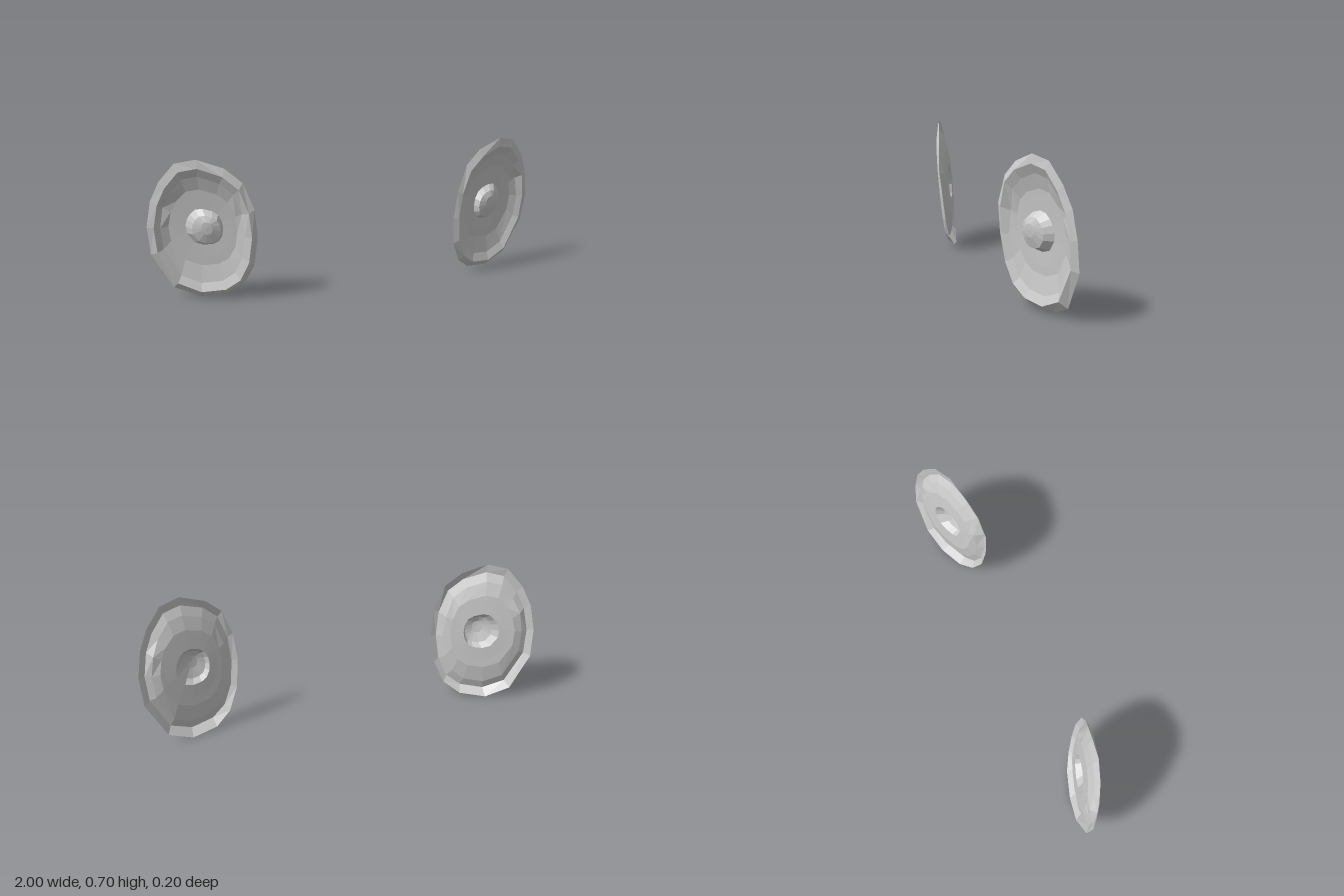
import * as THREE from 'three';

// Rim outline of the left ear, clockwise from the top: x, y, z
const rim = [
  [0.775, 0.705, 0.035], [0.87, 0.685, -0.005], [0.94, 0.595, -0.04], [0.98, 0.5, -0.067],
  [1.0, 0.37, -0.083], [0.985, 0.23, -0.1], [0.885, 0.055, -0.092], [0.765, 0.004, -0.062],
  [0.64, 0.02, -0.015], [0.565, 0.075, 0.03], [0.52, 0.18, 0.065], [0.505, 0.32, 0.086],
  [0.52, 0.46, 0.1], [0.57, 0.59, 0.086], [0.65, 0.66, 0.064],
];

// Concentric rings: x scale, y scale, height off the tilted rim plane, centre x, centre y
const rings = [
  [0.88, 0.89, 0.016, 0.752, 0.35],  // forward edge of the bevelled border
  [0.76, 0.77, -0.004, 0.75, 0.35],  // dished wall
  [0.62, 0.55, -0.022, 0.745, 0.36], // step around the floor
  [0.53, 0.46, -0.023, 0.745, 0.37],
  [0.34, 0.26, -0.026, 0.738, 0.365], // foot of the central knob
  [0.26, 0.2, 0.008, 0.735, 0.36],
  [0.1, 0.09, 0.022, 0.735, 0.37],
  [0, 0, 0.024, 0.735, 0.375],       // tip
];

const planeZ = (x, y) => -0.37 * (x - 0.75) + 0.1 * (y - 0.35);

function earGeometry(side) {
  const n = rim.length;
  const loops = [rim];
  rings.forEach(([sx, sy, h, cx, cy], k) => {
    loops.push(rim.map(([rx, ry], i) => {
      const x = cx + (rx - 0.752) * sx;
      const y = cy + (ry - 0.354) * sy;
      // small folds where the upper wall meets the sides
      const fold = k === 1 && (i === 3 || i === 12) ? -0.012 : 0;
      return [x, y, planeZ(x, y) + h + fold];
    }));
  });

  const pos = [];
  const tri = (a, b, c) => {
    for (const p of side > 0 ? [a, b, c] : [a, c, b]) pos.push(p[0] * side, p[1], p[2]);
  };
  for (let k = 0; k < loops.length - 1; k++) {
    const a = loops[k], b = loops[k + 1];
    for (let i = 0; i < n; i++) {
      const j = (i + 1) % n;
      tri(a[j], a[i], b[i]);
      if (k < loops.length - 2) tri(a[j], b[i], b[j]);
    }
  }
  const geo = new THREE.BufferGeometry();
  geo.setAttribute('position', new THREE.Float32BufferAttribute(pos, 3));
  geo.computeVertexNormals();
  return geo;
}

export function createModel() {
  const group = new THREE.Group();
  const material = new THREE.MeshStandardMaterial({
    color: 0xcccccc, flatShading: true, side: THREE.DoubleSide,
  });
  for (const [name, side] of [['leftEar', 1], ['rightEar', -1]]) {
    const ear = new THREE.Mesh(earGeometry(side), material);
    ear.name = name;
    group.add(ear);
  }
  return group;
}
